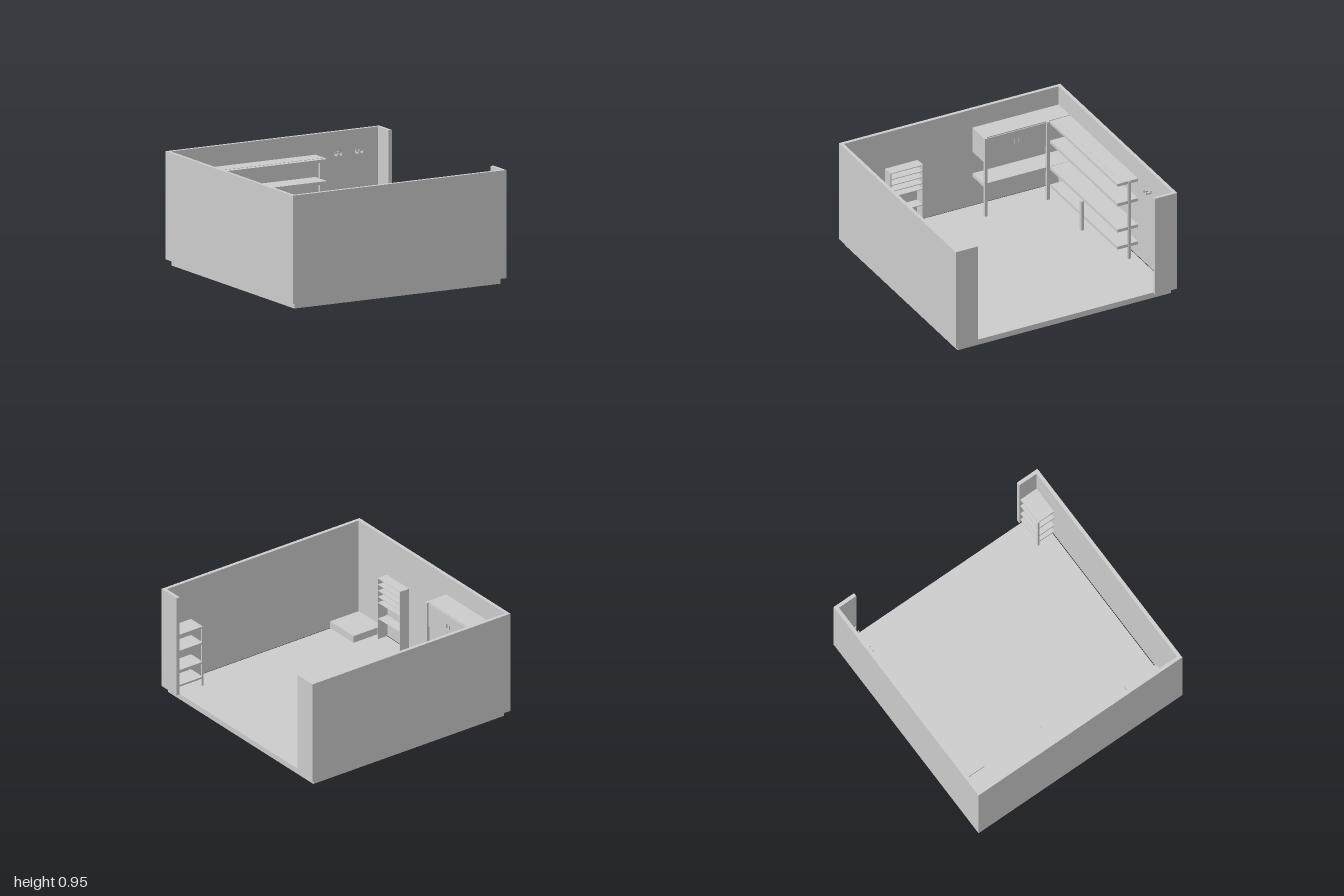
import * as THREE from 'three';

const material = new THREE.MeshStandardMaterial({ color: 0xcccccc, flatShading: true });

// Box given by its min/max extents on each axis
function box(parent, name, [x0, x1], [y0, y1], [z0, z1]) {
  const mesh = new THREE.Mesh(new THREE.BoxGeometry(x1 - x0, y1 - y0, z1 - z0), material);
  mesh.position.set((x0 + x1) / 2, (y0 + y1) / 2, (z0 + z1) / 2);
  mesh.name = name;
  parent.add(mesh);
  return mesh;
}

function group(parent, name) {
  const g = new THREE.Group();
  g.name = name;
  parent.add(g);
  return g;
}

// Square post standing on the floor, centred on x, z
function post(parent, x, z, top, w = 0.026) {
  box(parent, 'post', [x - w / 2, x + w / 2], [FLOOR, top], [z - w / 2, z + w / 2]);
}

const FLOOR = 0.07, TOP = 0.95;
const IN_X = 0.955, OUT_X = 0.985, IN_Z = 0.97;

export function createModel() {
  const model = new THREE.Group();
  model.name = 'garageRoom';

  // Floor slab and the small anchors beneath it
  box(model, 'floorSlab', [-0.95, 0.95], [0.022, FLOOR], [-0.965, 0.965]);
  for (const [x, z] of [[0.33, -0.74], [-0.21, -0.78]]) {
    box(model, 'floorAnchor', [x - 0.006, x + 0.006], [0, 0.03], [z - 0.006, z + 0.006]);
  }

  // Walls, open on the +x side between two short returns
  const walls = group(model, 'walls');
  box(walls, 'sideWall', [-OUT_X, -IN_X], [FLOOR, TOP], [-IN_Z, IN_Z]);
  for (const s of [-1, 1]) {
    const span = (a, b) => (s > 0 ? [a, b] : [-b, -a]);
    box(walls, s > 0 ? 'frontWall' : 'backWall', [-OUT_X, OUT_X], [FLOOR, TOP], span(IN_Z, 1));
    box(walls, 'returnWall', [IN_X, OUT_X], [FLOOR, TOP], span(0.8, IN_Z));
  }

  // Long shelves on the back wall
  const shelves = group(model, 'backShelves');
  box(shelves, 'topShelf', [-0.76, 0.38], [0.757, 0.782], [-IN_Z, -0.83]);
  box(shelves, 'topShelfRail', [-0.76, 0.38], [0.757, 0.78], [-0.83, -0.785]);
  for (const [y, x0] of [[0.575, -0.76], [0.335, -0.76], [0.178, -0.75]]) {
    box(shelves, 'shelf', [x0, 0.38], [y, y + 0.026], [-IN_Z, -0.785]);
  }
  post(shelves, 0.378, -0.89, 0.78, 0.022);
  post(shelves, -0.2, -0.775, 0.335);

  // Workbench and wall cabinet along the side wall
  const bench = group(model, 'workbench');
  box(bench, 'benchTop', [-IN_X, -0.76], [0.333, 0.363], [-IN_Z, -0.19]);
  post(bench, -0.757, -0.203, 0.783);
  post(bench, -0.757, -0.765, 0.783);

  const cabinet = group(model, 'wallCabinet');
  box(cabinet, 'cabinetBody', [-IN_X, -0.765], [0.562, 0.783], [-IN_Z, -0.19]);
  for (const s of [-1, 1]) {
    const mid = -0.483;
    const span = (a, b) => (s > 0 ? [mid + a, mid + b] : [mid - b, mid - a]);
    box(cabinet, 'cabinetDoor', [-0.765, -0.757], [0.57, 0.775], span(0.002, 0.262));
    box(cabinet, 'doorHandle', [-0.757, -0.746], [0.665, 0.7], span(0.016, 0.022));
  }

  // Thin wall rack on the side wall
  const rack = group(model, 'wallRack');
  for (const z of [0.302, 0.592]) {
    box(rack, 'rackSide', [-IN_X, -0.862], [FLOOR, 0.62], [z, z + 0.006]);
  }
  for (const y of [0.255, 0.4, 0.452, 0.508, 0.563, 0.618]) {
    box(rack, 'rackShelf', [-IN_X, -0.864], [y - 0.003, y + 0.003], [0.305, 0.595]);
  }

  // Low chest in the front corner
  box(model, 'lowChest', [-IN_X, -0.67], [FLOOR, 0.13], [0.66, IN_Z]);

  // Corner shelf unit behind the front return wall
  const corner = group(model, 'cornerShelves');
  for (const y of [0.14, 0.275, 0.45, 0.595]) {
    box(corner, 'cornerShelf', [0.715, IN_X], [y - 0.008, y + 0.008], [0.812, IN_Z]);
  }
  post(corner, 0.719, 0.815, 0.6, 0.014);

  // Pairs of hooks on the back wall
  for (const x of [0.58, 0.772]) {
    const hook = group(model, 'wallHook');
    box(hook, 'hookPlate', [x - 0.026, x + 0.026], [0.755, 0.785], [-IN_Z, -0.96]);
    for (const s of [-1, 1]) {
      const px = x + s * 0.021;
      box(hook, 'hookProng', [px - 0.006, px + 0.006], [0.757, 0.769], [-0.96, -0.92]);
      box(hook, 'hookTip', [px - 0.006, px + 0.006], [0.769, 0.783], [-0.928, -0.92]);
    }
  }

  return model;
}
